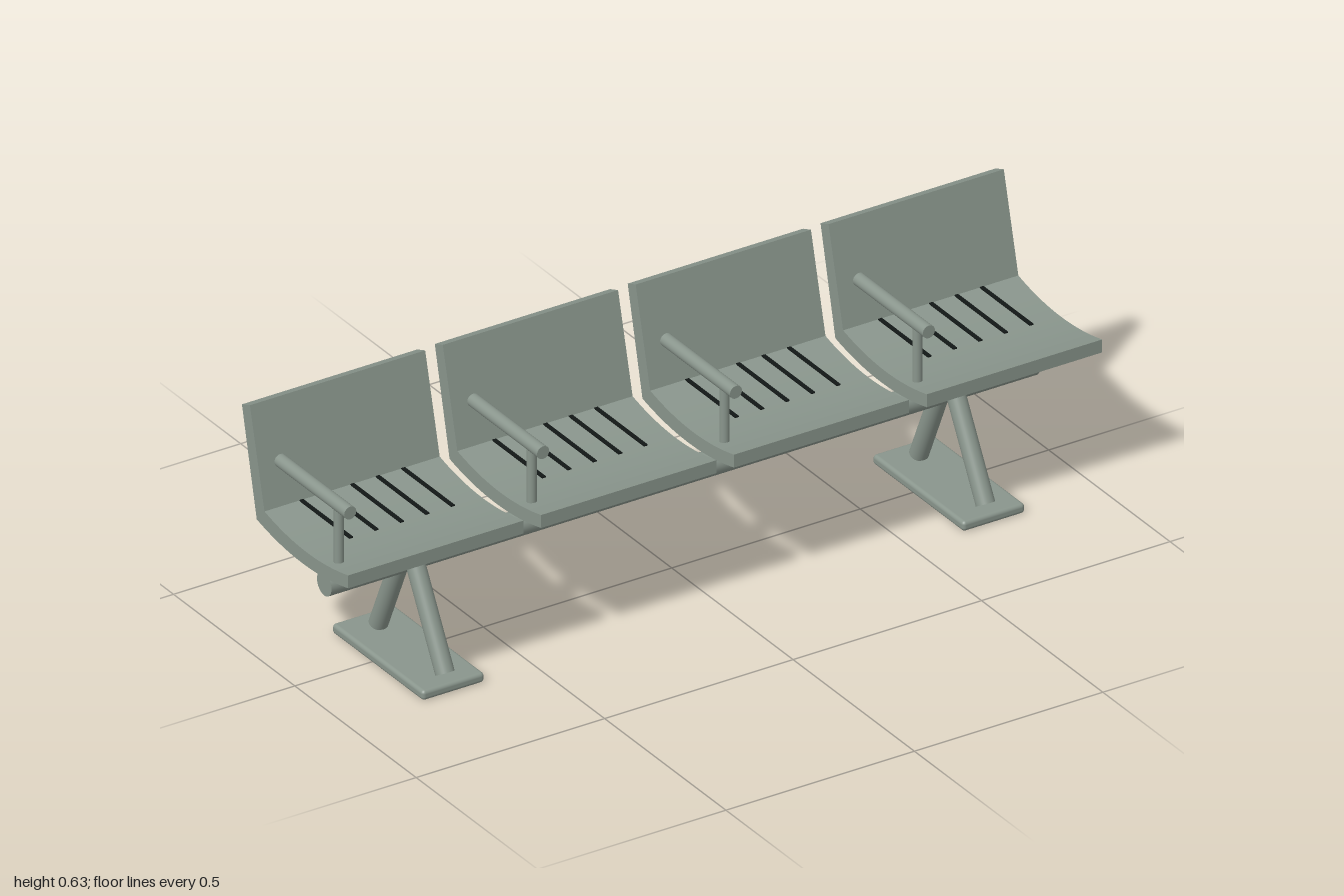
import * as THREE from 'three';
import { RoundedBoxGeometry } from 'three/addons/geometries/RoundedBoxGeometry.js';

const metal = new THREE.MeshStandardMaterial({ color: 0x89958c });
metal.name = 'greyGreenMetal';
const dark = new THREE.MeshStandardMaterial({ color: 0x121716 });
dark.name = 'darkSlot';

const SEAT_WIDTH = 0.465, PITCH = 0.5117;

function add(parent, name, geometry, material = metal) {
  const mesh = new THREE.Mesh(geometry, material);
  mesh.name = name;
  parent.add(mesh);
  return mesh;
}

// Round bar between two points
function bar(parent, name, a, b, radius) {
  const from = new THREE.Vector3(...a), to = new THREE.Vector3(...b);
  const dir = to.clone().sub(from);
  const mesh = add(parent, name, new THREE.CylinderGeometry(radius, radius, dir.length(), 32));
  mesh.position.copy(from).add(to).multiplyScalar(0.5);
  mesh.quaternion.setFromUnitVectors(new THREE.Vector3(0, 1, 0), dir.normalize());
  return mesh;
}

// Side profile of the curved seat and leaning back, drawn as (z, y)
function seatGeometry() {
  const s = new THREE.Shape();
  s.moveTo(0.22, 0.385);
  s.quadraticCurveTo(0.045, 0.342, -0.125, 0.387);
  s.lineTo(-0.185, 0.63);
  s.lineTo(-0.218, 0.617);
  s.lineTo(-0.157, 0.352);
  s.quadraticCurveTo(0.03, 0.304, 0.22, 0.352);
  s.closePath();
  const g = new THREE.ExtrudeGeometry(s, { depth: SEAT_WIDTH, bevelEnabled: false, curveSegments: 20 });
  g.rotateY(-Math.PI / 2);
  g.translate(SEAT_WIDTH / 2, 0, 0);
  return g;
}

export function createModel() {
  const bench = new THREE.Group();
  bench.name = 'bench';

  // Four seats, each with slots and one armrest
  const shell = seatGeometry();
  const slot = new THREE.BoxGeometry(0.01, 0.003, 0.206);
  for (let i = 0; i < 4; i++) {
    const seat = new THREE.Group();
    seat.name = 'seat';
    seat.position.x = (i - 1.5) * PITCH;
    add(seat, 'seatShell', shell);
    for (let k = -2; k <= 2; k++) {
      add(seat, 'seatSlot', slot, dark).position.set(k * 0.0675, 0.387, -0.022);
    }
    bar(seat, 'armrest', [-0.2, 0.515, 0.178], [-0.2, 0.515, -0.11], 0.016);
    bar(seat, 'armrestPost', [-0.2, 0.36, 0.131], [-0.2, 0.51, 0.131], 0.0115);
    bench.add(seat);
  }

  // Long support beam
  bar(bench, 'beam', [-0.94, 0.256, 0.028], [0.94, 0.256, 0.028], 0.03);

  // Two splayed leg frames on foot plates
  for (const side of [-1, 1]) {
    const frame = new THREE.Group();
    frame.name = 'legFrame';
    frame.position.x = side * 0.717;
    bar(frame, 'frontLeg', [0, 0.032, 0.179], [0, 0.304, 0.03], 0.0225);
    bar(frame, 'rearLeg', [0, 0.032, -0.095], [0, 0.304, 0.026], 0.0225);
    add(frame, 'footPlate', new RoundedBoxGeometry(0.165, 0.025, 0.376, 4, 0.009))
      .position.set(0, 0.0125, 0.028);
    bench.add(frame);
  }
  return bench;
}
